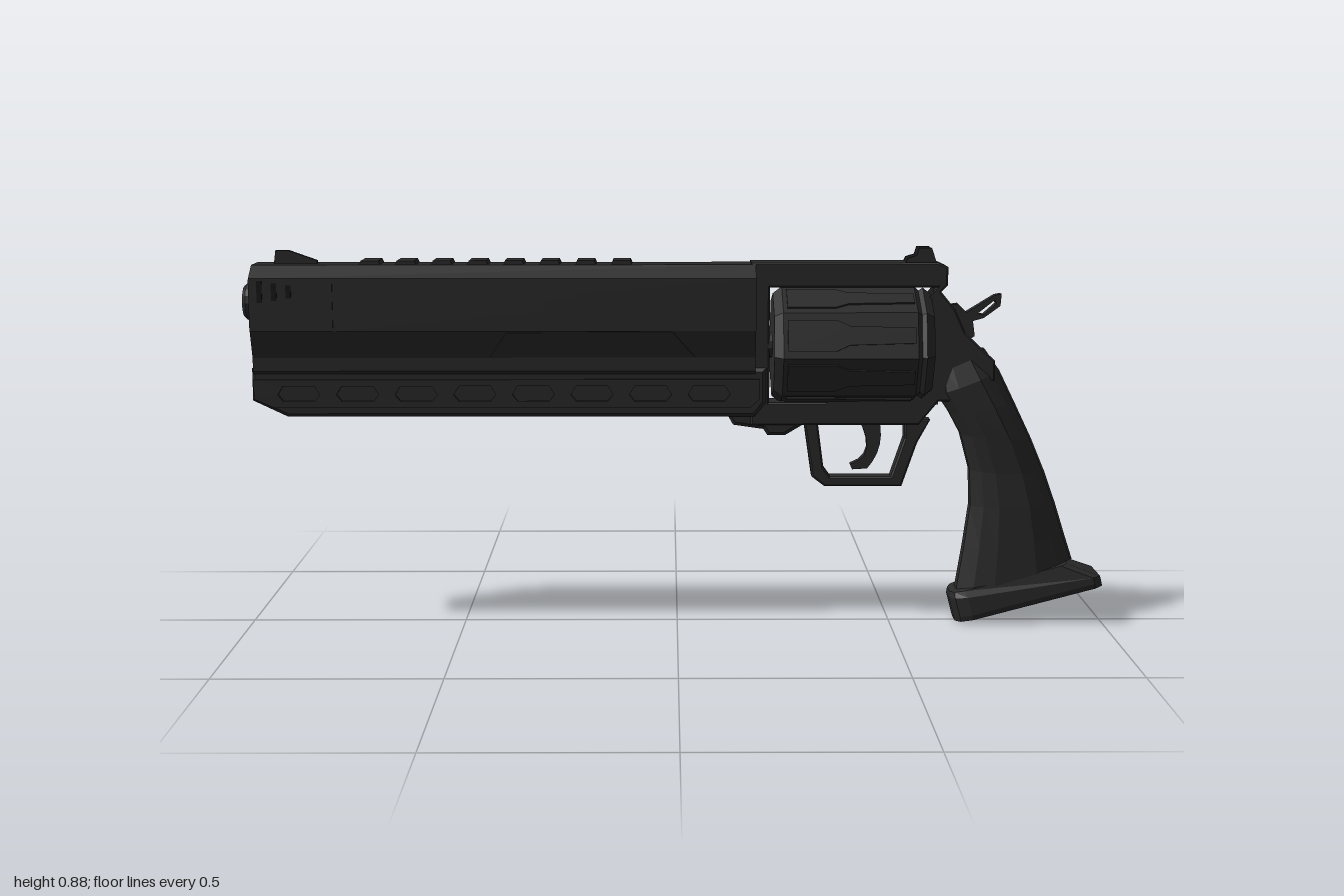
import * as THREE from 'three';

const material = new THREE.MeshStandardMaterial({ color: 0x2a2a2a, flatShading: true, side: THREE.DoubleSide });
const dark = new THREE.MeshStandardMaterial({ color: 0x151515, flatShading: true, side: THREE.DoubleSide });

const toShape = (pts) => new THREE.Shape(pts.map(([x, y]) => new THREE.Vector2(x, y)));

// Side outline in x, y, extruded evenly about z = 0, with an optional bevel
function slab(pts, width, holes = [], bevel = 0) {
  const shape = toShape(pts);
  holes.forEach((h) => shape.holes.push(toShape(h)));
  const depth = width - 2 * bevel;
  return new THREE.ExtrudeGeometry(shape, {
    depth, bevelEnabled: bevel > 0, bevelSize: bevel, bevelOffset: -bevel,
    bevelThickness: bevel, bevelSegments: 1, curveSegments: 4,
  }).translate(0, 0, -depth / 2);
}

const rect = (x0, x1, y0, y1) => [[x0, y0], [x1, y0], [x1, y1], [x0, y1]];

// Skin between equal-length rings of points, capped at both ends
function loft(rings) {
  const n = rings[0].length;
  const index = [];
  for (let r = 0; r < rings.length - 1; r++) {
    for (let i = 0; i < n; i++) {
      const a = r * n + i, b = r * n + (i + 1) % n;
      index.push(a, b, b + n, a, b + n, a + n);
    }
  }
  const last = (rings.length - 1) * n;
  for (let i = 1; i < n - 1; i++) index.push(0, i + 1, i, last, last + i, last + i + 1);
  const geo = new THREE.BufferGeometry();
  geo.setAttribute('position', new THREE.Float32BufferAttribute(rings.flat(2), 3));
  geo.setIndex(index);
  const flat = geo.toNonIndexed();
  flat.computeVertexNormals();
  return flat;
}

// Half plan [along, across] completed by its mirror image
const mirrored = (half) => [...half, ...half.slice().reverse().map(([u, w]) => [u, -w])];

export function createModel() {
  const model = new THREE.Group();
  const gun = new THREE.Group();
  gun.name = 'revolver';
  gun.position.z = -0.01;
  model.add(gun);

  const add = (name, geo, x = 0, y = 0, z = 0, mat = material, parent = gun) => {
    const mesh = new THREE.Mesh(geo, mat);
    mesh.name = name;
    mesh.position.set(x, y, z);
    parent.add(mesh);
    return mesh;
  };
  const box = (name, sx, sy, sz, x, y, z, mat) => add(name, new THREE.BoxGeometry(sx, sy, sz), x, y, z, mat);

  // Barrel shroud: chamfered cross-section swept along x
  const section = [[0.042, 0.848], [0.083, 0.82], [0.083, 0.7], [0.06, 0.636], [0.06, 0.605], [0.05, 0.595]];
  const full = [...section, ...section.slice().reverse().map(([z, y]) => [-z, y])];
  const shroud = new THREE.ExtrudeGeometry(toShape(full), { depth: 1.155, bevelEnabled: false });
  add('barrelShroud', shroud.rotateY(Math.PI / 2), -0.975);

  // Lower lug, with a slotted cheek on the left side
  const lug = [[-0.98, 0.61], [-0.98, 0.535], [-0.9, 0.497], [0.18, 0.497], [0.205, 0.53], [0.205, 0.61]];
  add('barrelLug', slab(lug, 0.105, [], 0.008));
  const slots = [];
  for (let i = 0; i < 8; i++) {
    const x = -0.92 + i * 0.135;
    slots.push([[x, 0.55], [x + 0.012, 0.535], [x + 0.085, 0.535], [x + 0.097, 0.55], [x + 0.085, 0.57], [x + 0.012, 0.57]]);
  }
  const cheek = [[-0.975, 0.585], [-0.975, 0.54], [-0.93, 0.52], [0.17, 0.52], [0.19, 0.54], [0.19, 0.585]];
  add('slottedCheek', slab(cheek, 0.01, slots), 0, 0, 0.055);

  // Side panels, recessed window and muzzle vents on both sides
  for (const s of [1, -1]) {
    add('frontPanel', slab(rect(-0.975, -0.785, 0.7, 0.818), 0.006), 0, 0, s * 0.083);
    add('sidePanel', slab(rect(-0.778, 0.18, 0.7, 0.818), 0.006, [
      [[-0.3, 0.745], [-0.02, 0.745], [-0.02, 0.782], [-0.27, 0.782], [-0.3, 0.765]],
    ]), 0, 0, s * 0.083);
    const skirt = add('skirtPanel', slab([[-0.43, 0], [0.04, 0], [-0.01, 0.062], [-0.39, 0.062]], 0.005), 0, 0.639, s * 0.061);
    skirt.rotation.x = s * 0.345;
    for (let i = 0; i < 3; i++) box('muzzleVent', 0.012, 0.05 - i * 0.01, 0.004, -0.95 + i * 0.033, 0.79, s * 0.086, dark);
  }

  // Muzzle tube
  const bore = [[0.024, 0], [0.024, 0.03], [0.036, 0.03], [0.043, 0.022], [0.043, 0]].map(([r, h]) => new THREE.Vector2(r, h));
  add('muzzle', new THREE.LatheGeometry(bore, 16).rotateZ(Math.PI / 2), -0.97, 0.76);
  add('bore', new THREE.CircleGeometry(0.024, 16).rotateY(-Math.PI / 2), -0.978, 0.76, 0, dark);

  // Top rail and sights
  for (let i = 0; i < 8; i++) {
    const x = -0.705 + i * 0.0825;
    add('railTooth', slab([[x - 0.027, 0.84], [x + 0.027, 0.84], [x + 0.02, 0.857], [x - 0.02, 0.857]], 0.075));
  }
  add('frontSight', slab([[-0.93, 0.84], [-0.83, 0.84], [-0.83, 0.855], [-0.895, 0.878], [-0.925, 0.878]], 0.016));
  for (const s of [1, -1]) {
    add('rearSight', slab([[0.52, 0.84], [0.6, 0.84], [0.585, 0.885], [0.555, 0.885], [0.55, 0.868], [0.53, 0.862]], 0.01), 0, 0, s * 0.024);
  }

  // Frame with cylinder window, and stepped crane below the barrel
  const frame = [
    [0.17, 0.852], [0.6, 0.852], [0.622, 0.842], [0.622, 0.8], [0.607, 0.785], [0.64, 0.745], [0.665, 0.69],
    [0.735, 0.625], [0.735, 0.58], [0.63, 0.53], [0.605, 0.53], [0.56, 0.475], [0.3, 0.475], [0.17, 0.475],
  ];
  add('frame', slab(frame, 0.084, [rect(0.213, 0.6, 0.528, 0.795)], 0.004));
  add('crane', slab([[0.11, 0.51], [0.13, 0.475], [0.2, 0.465], [0.21, 0.45], [0.25, 0.45], [0.3, 0.48], [0.3, 0.51]], 0.075, [], 0.008));

  // Eight-sided cylinder with chamfered ends, face plates and rear ribs
  const drum = new THREE.Group();
  drum.name = 'cylinder';
  drum.position.set(0.22, 0.66, 0.0125);
  drum.rotation.x = 0.115;
  gun.add(drum);
  const ring = (x, r) => Array.from({ length: 8 }, (_, i) => {
    const a = i * Math.PI / 4;
    return [x, r * Math.sin(a), r * Math.cos(a)];
  });
  add('cylinderBody', loft([
    ring(0, 0.122), ring(0.02, 0.138), ring(0.325, 0.138), ring(0.335, 0.128),
    ring(0.345, 0.135), ring(0.365, 0.118), ring(0.365, 0.098), ring(0.35, 0.09),
  ].reverse()), 0, 0, 0, material, drum);
  for (let i = 0; i < 8; i++) {
    const spoke = new THREE.Group();
    spoke.name = 'cylinderSector';
    spoke.rotation.x = (i + 0.5) * Math.PI / 4;
    drum.add(spoke);
    const plate = slab([[0.03, -0.036], [0.14, -0.036], [0.17, -0.022], [0.32, -0.018], [0.32, 0.018],
      [0.17, 0.022], [0.14, 0.036], [0.03, 0.036]], 0.01);
    add('facePlate', plate, 0, 0, 0.1265, material, spoke);
    add('rearRib', new THREE.BoxGeometry(0.02, 0.014, 0.075), 0.355, 0, 0.065, material, spoke);
  }
  add('axle', new THREE.CylinderGeometry(0.03, 0.03, 0.395, 12).rotateZ(Math.PI / 2), 0.185, 0, 0, material, drum);

  // Hammer with an open spur
  add('hammer', slab([[0.6, 0.68], [0.615, 0.75], [0.65, 0.755], [0.67, 0.735], [0.735, 0.775], [0.75, 0.778],
    [0.748, 0.75], [0.71, 0.722], [0.685, 0.715], [0.69, 0.68], [0.66, 0.66]], 0.026,
  [[[0.695, 0.732], [0.71, 0.73], [0.738, 0.755], [0.735, 0.764]]]));

  // Trigger guard and trigger
  add('triggerGuard', slab([[0.295, 0.485], [0.315, 0.35], [0.345, 0.327], [0.525, 0.327], [0.56, 0.43], [0.59, 0.485]], 0.046,
    [[[0.328, 0.476], [0.342, 0.372], [0.358, 0.35], [0.5, 0.35], [0.53, 0.44], [0.53, 0.476]]], 0.004));
  const trigger = new THREE.Shape();
  trigger.moveTo(0.42, 0.49);
  trigger.quadraticCurveTo(0.475, 0.4, 0.405, 0.378);
  trigger.lineTo(0.41, 0.366);
  trigger.lineTo(0.445, 0.368);
  trigger.quadraticCurveTo(0.49, 0.42, 0.47, 0.49);
  add('trigger', new THREE.ExtrudeGeometry(trigger, { depth: 0.024, bevelEnabled: false, curveSegments: 6 }), 0, 0, -0.012);

  // Grip: faceted sections between front and back curves [frontX, frontY, backX, backY, halfWidth]
  const gripPlan = mirrored([[0, 0.3], [0.14, 0.8], [0.32, 1], [0.68, 1], [0.88, 0.65], [1, 0.2]]);
  const gripRows = [
    [0.6, 0.6, 0.71, 0.65, 0.04], [0.605, 0.545, 0.745, 0.6, 0.057], [0.635, 0.5, 0.782, 0.525, 0.059],
    [0.662, 0.45, 0.823, 0.44, 0.058], [0.685, 0.365, 0.857, 0.36, 0.055], [0.688, 0.28, 0.884, 0.285, 0.057],
    [0.675, 0.18, 0.908, 0.21, 0.058], [0.658, 0.07, 0.928, 0.15, 0.059],
  ];
  add('grip', loft(gripRows.map(([fx, fy, bx, by, hw]) =>
    gripPlan.map(([t, w]) => [fx + (bx - fx) * t, fy + (by - fy) * t, w * hw]))));
  add('backStrap', loft(gripRows.map(([, , bx, by]) =>
    [[-0.02, 0.014], [0.004, 0.012], [0.004, -0.012], [-0.02, -0.014]].map(([d, z]) => [bx + d, by, z]))));

  // Tilted base plate: rounded at the front, thinner at the rear
  const basePlan = mirrored([[0, 0.4], [0.012, 0.8], [0.04, 1], [0.335, 1], [0.353, 0.8]]);
  const base = add('gripBase', loft([
    basePlan.map(([u, w]) => [u, 0, w * 0.06]),
    basePlan.map(([u, w]) => [u, 0.012, w * 0.063]),
    basePlan.map(([u, w]) => [u, 0.06 - 0.1 * u, w * 0.063]),
    basePlan.map(([u, w]) => [0.005 + u * 0.79, 0.072, w * 0.055]),
  ].map((r) => r.reverse())), 0.657, 0.004);
  base.rotation.z = 0.26;
  return model;
}
